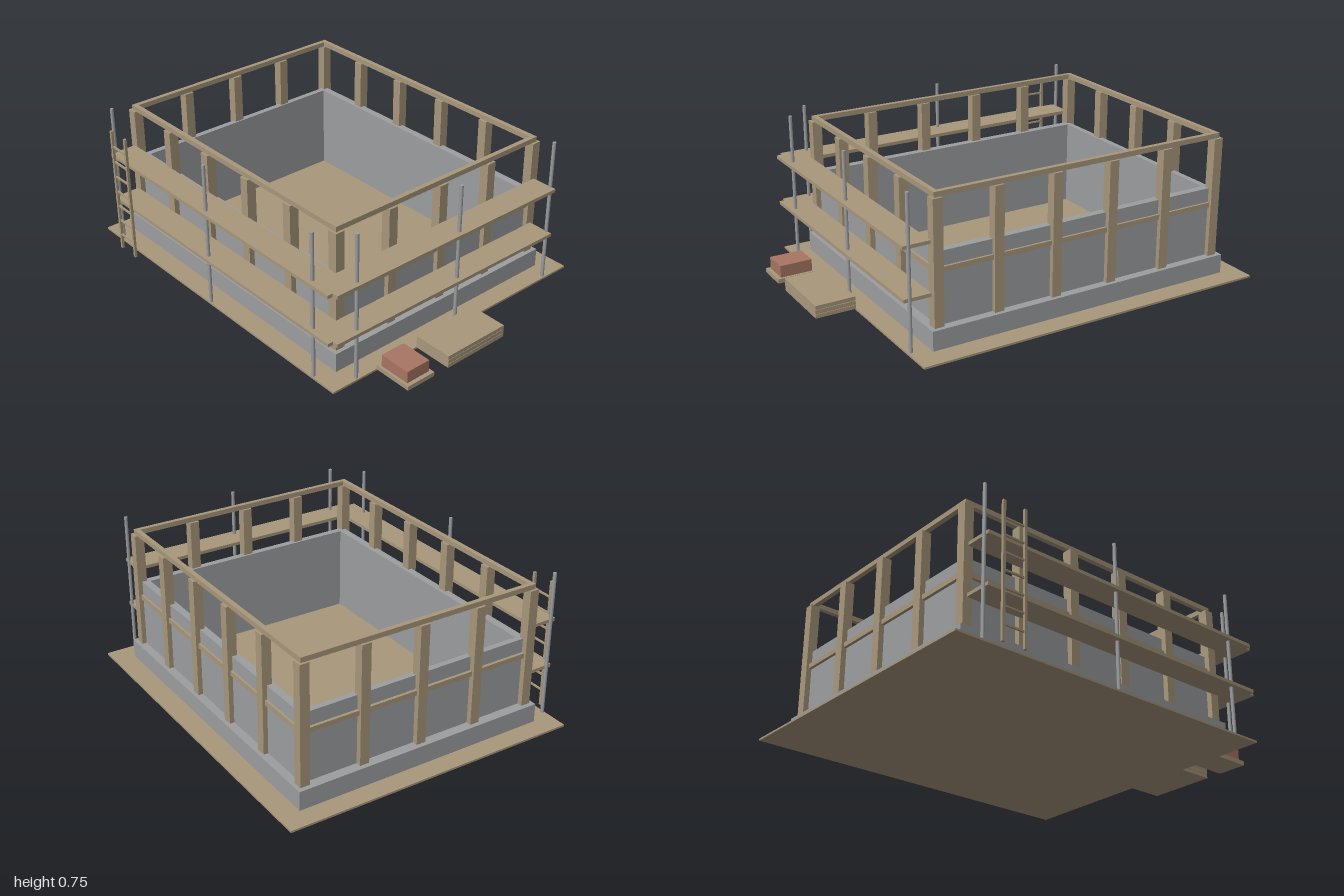
import * as THREE from 'three';

const mat = (name, color) => {
  const m = new THREE.MeshStandardMaterial({ color });
  m.name = name;
  return m;
};

export function createModel() {
  const root = new THREE.Group();
  root.name = 'houseUnderConstruction';
  const wood = mat('wood', 0xa8977b);
  const grey = mat('concreteGrey', 0x9c9ea0);
  const brick = mat('brickRed', 0xa87563);

  const group = (name) => {
    const g = new THREE.Group();
    g.name = name;
    root.add(g);
    return g;
  };
  // Box given by its limits on each axis
  const box = (parent, name, material, x0, x1, y0, y1, z0, z1) => {
    const m = new THREE.Mesh(new THREE.BoxGeometry(x1 - x0, y1 - y0, z1 - z0), material);
    m.position.set((x0 + x1) / 2, (y0 + y1) / 2, (z0 + z1) / 2);
    m.name = name;
    parent.add(m);
  };
  // Rectangular ring: outer limits, inner limits, bottom and top
  const ring = (parent, name, material, [a, b, c, d], [e, f, g, h], y0, y1) => {
    const rect = (T, x0, x1, z0, z1) => new T([
      new THREE.Vector2(x0, -z0), new THREE.Vector2(x0, -z1),
      new THREE.Vector2(x1, -z1), new THREE.Vector2(x1, -z0)]);
    const shape = rect(THREE.Shape, a, b, c, d);
    shape.holes.push(rect(THREE.Path, e, f, g, h));
    const geo = new THREE.ExtrudeGeometry(shape, { depth: y1 - y0, bevelEnabled: false });
    geo.rotateX(-Math.PI / 2);
    const m = new THREE.Mesh(geo, material);
    m.position.y = y0;
    m.name = name;
    parent.add(m);
  };

  // Ground plate, foundation and half-built walls
  box(root, 'ground', wood, -1, 0.8, 0, 0.01, -0.78, 0.73);
  const inner = [-0.82, 0.62, -0.595, 0.545];
  ring(root, 'foundation', grey, [-0.9, 0.7, -0.675, 0.63], inner, 0.005, 0.105);
  ring(root, 'walls', grey, [-0.85, 0.655, -0.633, 0.585], inner, 0.105, 0.45);

  // Timber frame: studs around the walls
  const frame = group('timberFrame');
  const s = 0.024;
  const stud = (x, z) => box(frame, 'stud', wood, x - s, x + s, 0.105, 0.7, z - s, z + s);
  const [xl, xr, zb, zf] = [-0.853, 0.656, -0.632, 0.588];
  for (let i = 0; i <= 5; i++) {
    const x = xl + (xr - xl) * i / 5;
    stud(x, zb);
    stud(x, zf);
  }
  for (let i = 1; i <= 3; i++) {
    const z = zb + (zf - zb) * i / 4;
    stud(xl, z);
    stud(xr, z);
  }
  // Top rail and middle rail
  const r = 0.012;
  const out = [xl - r, xr + r, zb - r, zf + r];
  const inn = [xl + r, xr - r, zb + r, zf - r];
  ring(frame, 'topRail', wood, out, inn, 0.7, 0.725);
  ring(frame, 'middleRail', wood, out, inn, 0.355, 0.38);

  // Scaffold: two decks along the front and left-hand sides
  const scaffold = group('scaffold');
  for (const y of [0.248, 0.492]) {
    box(scaffold, 'frontDeck', wood, -0.855, 0.785, y, y + 0.017, 0.61, 0.747);
    box(scaffold, 'sideDeck', wood, 0.68, 0.815, y + 0.0005, y + 0.0175, -0.632, 0.72);
  }
  const poleGeo = new THREE.CylinderGeometry(0.009, 0.009, 0.745, 8);
  for (const [x, z] of [[-0.857, 0.72], [-0.1, 0.72], [0.655, 0.72],
    [0.785, -0.63], [0.785, -0.02], [0.785, 0.587]]) {
    const pole = new THREE.Mesh(poleGeo, grey);
    pole.position.set(x, 0.3725, z);
    pole.name = 'pole';
    scaffold.add(pole);
  }

  // Ladder
  const ladder = group('ladder');
  for (const x of [-0.793, -0.676])
    box(ladder, 'ladderRail', wood, x - 0.007, x + 0.007, 0.003, 0.665, 0.763, 0.776);
  for (let i = 1; i <= 7; i++)
    box(ladder, 'rung', wood, -0.793, -0.676, i * 0.083 - 0.004, i * 0.083 + 0.004, 0.765, 0.774);

  // Stacked boards
  const stack = group('boardStack');
  for (let i = 0; i < 3; i++)
    box(stack, 'board', wood, 0.8, 1, 0.008 + i * 0.0215, 0.0275 + i * 0.0215, -0.118, 0.237);

  // Bricks on a pallet
  const pallet = group('brickPallet');
  box(pallet, 'pallet', wood, 0.8, 1, 0.008, 0.03, 0.323, 0.48);
  box(pallet, 'bricks', brick, 0.818, 0.98, 0.03, 0.09, 0.337, 0.467);

  return root;
}
